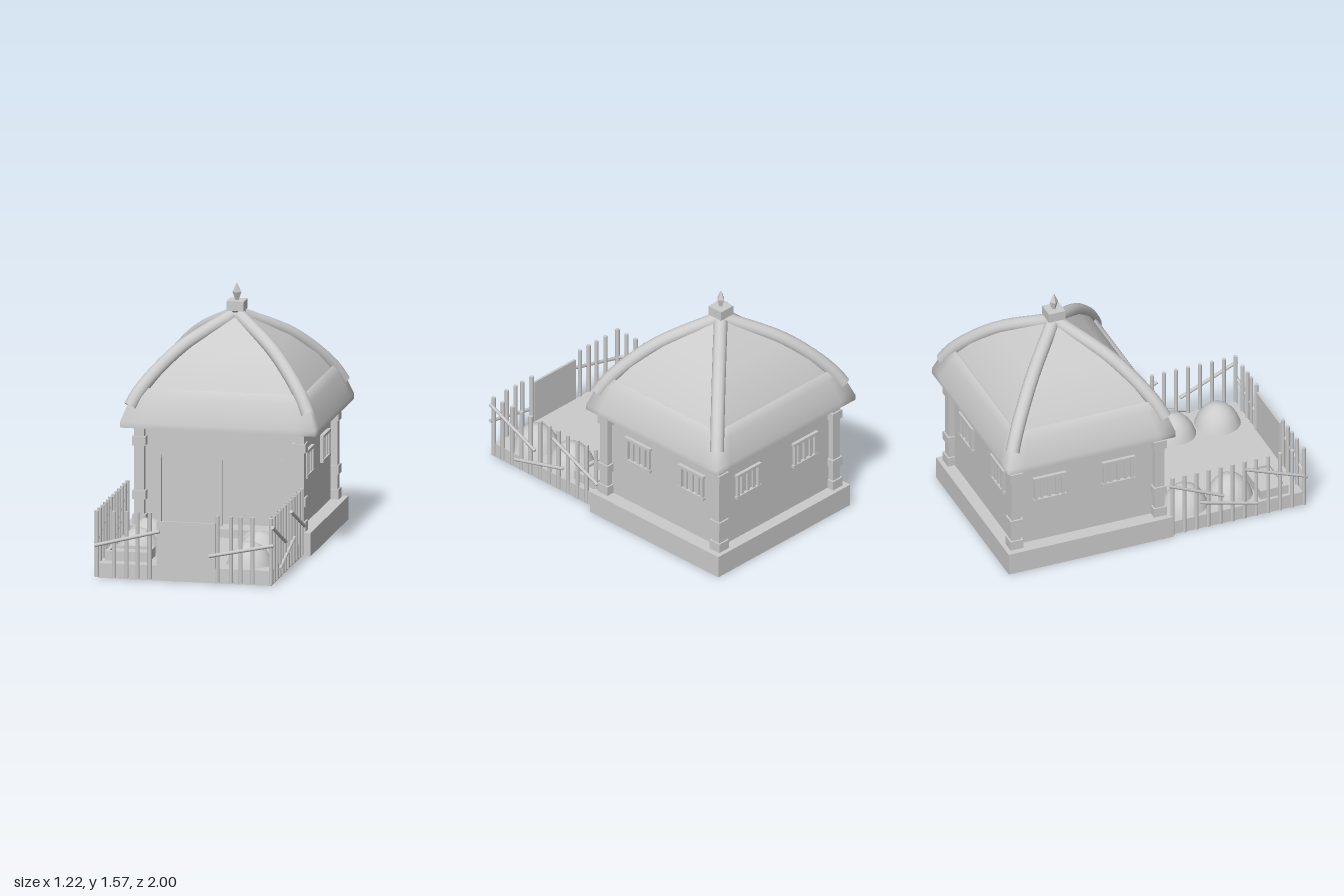
import * as THREE from 'three';
import { toCreasedNormals } from 'three/addons/utils/BufferGeometryUtils.js';

const mat = new THREE.MeshStandardMaterial({ color: 0xcccccc });
const thin = new THREE.MeshStandardMaterial({ color: 0xcccccc, side: THREE.DoubleSide });
const CZ = -0.447; // centre of the house in z

function add(parent, name, geo, m = mat) {
  const mesh = new THREE.Mesh(geo, m);
  mesh.name = name;
  parent.add(mesh);
  return mesh;
}

// box given by its min and max in each axis
function block(parent, name, x0, x1, y0, y1, z0, z1) {
  const mesh = add(parent, name, new THREE.BoxGeometry(x1 - x0, y1 - y0, z1 - z0));
  mesh.position.set((x0 + x1) / 2, (y0 + y1) / 2, (z0 + z1) / 2);
  return mesh;
}

// round bar between two points
function bar(parent, name, a, b, r) {
  const p = new THREE.Vector3(...a), q = new THREE.Vector3(...b);
  const d = q.clone().sub(p);
  const mesh = add(parent, name, new THREE.CylinderGeometry(r, r, d.length(), 8));
  mesh.position.copy(p).add(q).multiplyScalar(0.5);
  mesh.quaternion.setFromUnitVectors(new THREE.Vector3(0, 1, 0), d.normalize());
}

// rectangular rings of [scale, y], joined into one skin
function squareLoft(profile, hx, hz) {
  const t = [-1, -0.8, 0, 0.8];
  const ring = [
    ...t.map(v => [v, 1]), ...t.map(v => [1, -v]),
    ...t.map(v => [-v, -1]), ...t.map(v => [-1, v]),
  ];
  const n = ring.length, pos = [], idx = [];
  for (const [s, y] of profile) for (const [x, z] of ring) pos.push(x * s * hx, y, z * s * hz);
  for (let j = 0; j < profile.length - 1; j++) {
    for (let i = 0; i < n; i++) {
      const a = j * n + i, b = j * n + (i + 1) % n;
      idx.push(a, b, b + n, a, b + n, a + n);
    }
  }
  const g = new THREE.BufferGeometry();
  g.setAttribute('position', new THREE.Float32BufferAttribute(pos, 3));
  g.setIndex(idx);
  g.computeVertexNormals();
  return g;
}

// plinth open underneath
function openPlinth(parent, name, x0, x1, h, z0, z1) {
  const g = squareLoft([[1, 0], [1, h], [0, h]], (x1 - x0) / 2, (z1 - z0) / 2);
  const mesh = add(parent, name, toCreasedNormals(g, 0.5), thin);
  mesh.position.set((x0 + x1) / 2, 0, (z0 + z1) / 2);
}

// barred window facing +z
function barredWindow() {
  const w = new THREE.Group();
  w.name = 'window';
  for (const y of [-0.077, 0.077]) block(w, 'windowRail', -0.108, 0.108, y - 0.009, y + 0.009, -0.01, 0.022);
  for (const x of [-0.09, 0.09]) block(w, 'windowJamb', x - 0.01, x + 0.01, -0.085, 0.085, -0.01, 0.02);
  for (const x of [-0.05, 0, 0.05]) block(w, 'windowBar', x - 0.01, x + 0.01, -0.077, 0.077, -0.01, 0.014);
  return w;
}

function buildHouse() {
  const house = new THREE.Group();
  house.name = 'house';
  openPlinth(house, 'housePlinth', -0.58, 0.58, 0.145, -0.985, 0.105);

  // walls with a shallow front recess
  block(house, 'walls', -0.49, 0.49, 0.145, 0.78, -0.91, -0.04);
  for (const s of [-1, 1]) {
    block(house, 'frontWallSide', Math.min(s * 0.39, s * 0.49), Math.max(s * 0.39, s * 0.49), 0.145, 0.78, -0.04, 0.02);
  }
  block(house, 'frontLintel', -0.39, 0.39, 0.555, 0.78, -0.04, 0.02);
  for (const x of [-0.38, 0, 0.39]) block(house, 'porchPost', x - 0.01, x + 0.01, 0.145, 0.575, 0.005, 0.027);

  // corner posts with collars
  for (const x of [-0.5, 0.5]) for (const z of [-0.915, 0.033]) {
    block(house, 'cornerPost', x - 0.031, x + 0.031, 0.145, 0.78, z - 0.031, z + 0.031);
    for (const [y0, y1] of [[0.145, 0.205], [0.3, 0.355], [0.635, 0.692]]) {
      block(house, 'postCollar', x - 0.042, x + 0.042, y0, y1, z - 0.042, z + 0.042);
    }
  }

  // two windows on each side and on the back
  for (const s of [-1, 1]) for (const z of [-0.228, -0.683]) {
    const w = barredWindow();
    w.position.set(s * 0.49, 0.52, z);
    w.rotation.y = s * Math.PI / 2;
    house.add(w);
  }
  for (const x of [-0.25, 0.25]) {
    const w = barredWindow();
    w.position.set(x, 0.52, -0.91);
    w.rotation.y = Math.PI;
    house.add(w);
  }
  return house;
}

function buildRoof() {
  const roof = new THREE.Group();
  roof.name = 'roof';
  roof.position.z = CZ;
  const hx = 0.61, hz = 0.553;
  add(roof, 'roofSkirt', squareLoft([[1, 0.75], [1, 0.785], [0.95, 0.865], [0.9, 0.935], [0.84, 0.985], [0.8, 0.965]], hx, hz), thin);
  const soffit = add(roof, 'roofSoffit', new THREE.PlaneGeometry(hx * 2, hz * 2), thin);
  soffit.rotation.x = Math.PI / 2;
  soffit.position.y = 0.752;
  add(roof, 'roofPanels', toCreasedNormals(squareLoft([[0.84, 0.95], [0.71, 1.07], [0.47, 1.21], [0.05, 1.385]], hx, hz), 0.7), thin);

  // rounded hips along the four corners
  const hip = [[0.91, 0.875], [0.84, 0.955], [0.71, 1.06], [0.46, 1.21], [0.04, 1.365]];
  for (const sx of [-1, 1]) for (const sz of [-1, 1]) {
    const path = new THREE.CatmullRomCurve3(hip.map(([s, y]) => new THREE.Vector3(sx * s * hx, y, sz * s * hz)));
    add(roof, 'roofHip', new THREE.TubeGeometry(path, 16, 0.043, 12), thin);
  }

  // cap and spike
  block(roof, 'roofCap', -0.054, 0.054, 1.4, 1.46, -0.054, 0.054);
  const spike = [[0, 1.455], [0.01, 1.455], [0.028, 1.51], [0, 1.57]].map(p => new THREE.Vector2(...p));
  add(roof, 'roofSpike', toCreasedNormals(new THREE.LatheGeometry(spike, 4), 0.3));
  return roof;
}

function buildYard() {
  const yard = new THREE.Group();
  yard.name = 'yard';
  openPlinth(yard, 'yardFloor', -0.555, 0.525, 0.092, 0.105, 0.97);

  // heaps
  const heap = [[0.143, 0], [0.13, 0.035], [0.108, 0.075], [0.075, 0.11], [0.038, 0.131], [0, 0.137]];
  const heapGeo = new THREE.LatheGeometry(heap.map(p => new THREE.Vector2(...p)), 32);
  for (const [x, z] of [[-0.395, 0.255], [-0.395, 0.55], [0.35, 0.485], [0.35, 0.78]]) {
    add(yard, 'heap', heapGeo).position.set(x, 0.092, z);
  }

  // troughs
  for (const [x, z] of [[-0.395, 0.792], [0.345, 0.24]]) {
    const shape = new THREE.Shape();
    shape.moveTo(-0.138, -0.093).lineTo(0.138, -0.093).lineTo(0.138, 0.093).lineTo(-0.138, 0.093);
    const hole = new THREE.Path();
    hole.moveTo(-0.114, -0.07).lineTo(-0.114, 0.07).lineTo(0.114, 0.07).lineTo(0.114, -0.07);
    shape.holes.push(hole);
    const rim = add(yard, 'troughRim', new THREE.ExtrudeGeometry(shape, { depth: 0.06, bevelEnabled: false }));
    rim.rotation.x = -Math.PI / 2;
    rim.position.set(x, 0.092, z);
    block(yard, 'troughFill', x - 0.114, x + 0.114, 0.092, 0.135, z - 0.07, z + 0.07);
  }

  // gate
  block(yard, 'gate', -0.19, 0.175, 0.06, 0.373, 0.965, 0.98);

  // fence stakes
  const stake = (x, z) => bar(yard, 'fenceStake', [x, 0.008, z], [x, 0.422, z], 0.013);
  for (const x of [-0.565, -0.457, -0.378, -0.31, -0.233, 0.19, 0.274, 0.335, 0.41, 0.525]) stake(x, 0.972);
  for (const x of [-0.563, 0.525]) for (let i = 0; i < 12; i++) stake(x, 0.105 + i * 0.079);

  // slanted fence rails
  const rail = (a, b) => bar(yard, 'fenceRail', a, b, 0.011);
  rail([-0.575, 0.205, 0.985], [-0.17, 0.31, 0.985]);
  rail([0.14, 0.17, 0.985], [0.545, 0.255, 0.985]);
  const sideRails = [
    [1, 0.99, 0.37, 0.61, 0.2], [1, 0.78, 0.065, 0.37, 0.175], [1, 0.46, 0.355, 0.08, 0.185],
    [-1, 0.97, 0.22, 0.58, 0.365], [-1, 0.66, 0.1, 0.28, 0.2], [-1, 0.44, 0.21, 0.08, 0.37],
  ];
  for (const [s, z0, y0, z1, y1] of sideRails) {
    const x = s > 0 ? 0.538 : -0.57;
    rail([x, y0, z0], [x, y1, z1]);
  }
  return yard;
}

export function createModel() {
  const model = new THREE.Group();
  model.name = 'hutWithYard';
  model.add(buildHouse(), buildRoof(), buildYard());
  return model;
}
